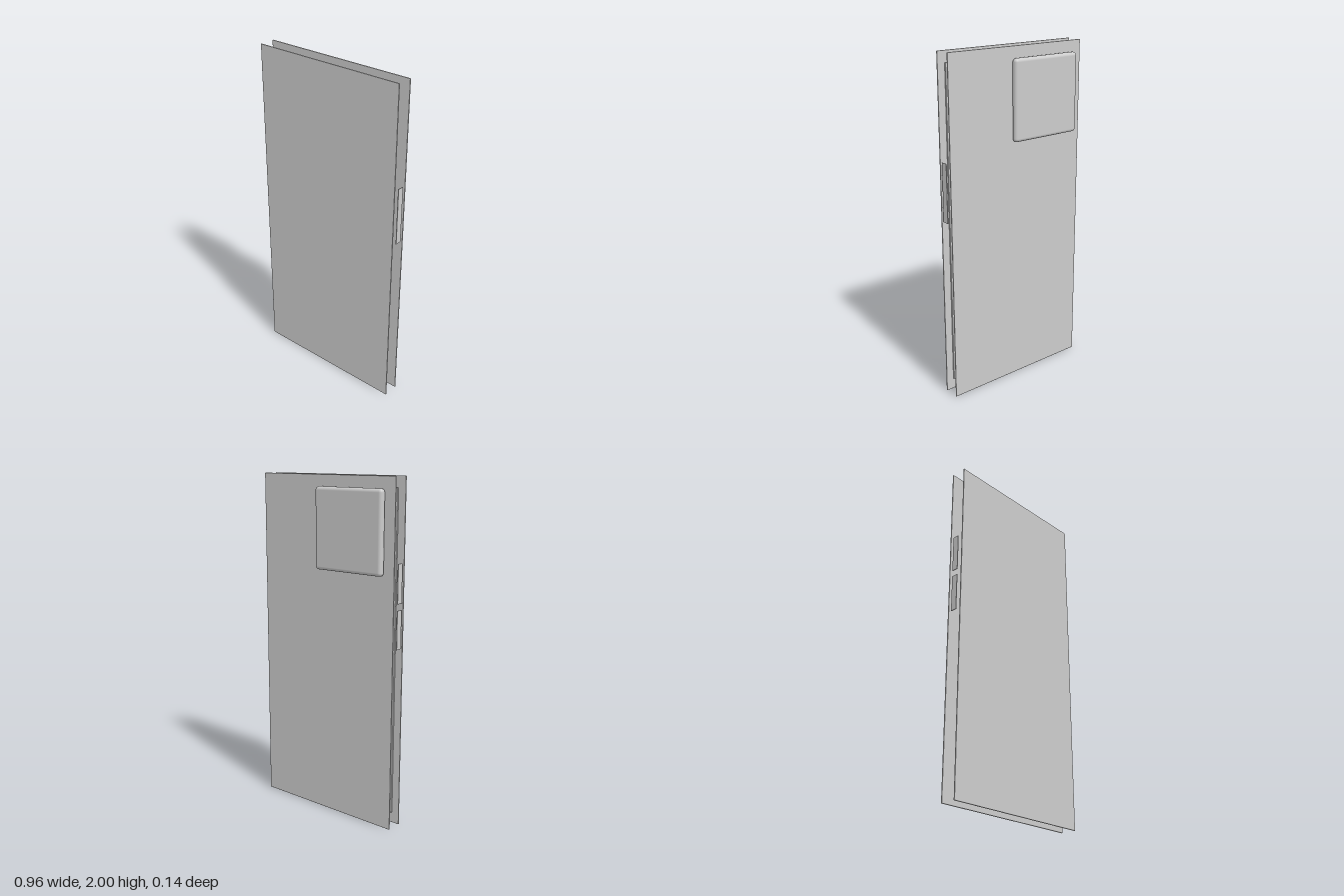
import * as THREE from 'three';
import { RoundedBoxGeometry } from 'three/addons/geometries/RoundedBoxGeometry.js';

export function createModel() {
  const group = new THREE.Group();
  const grey = new THREE.MeshStandardMaterial({ color: 0xcccccc });
  grey.name = 'grey';

  // Adds a block from its min and max corners, rounded when a radius is given
  const block = (name, [x0, y0, z0], [x1, y1, z1], radius = 0) => {
    const size = [x1 - x0, y1 - y0, z1 - z0];
    const geometry = radius
      ? new RoundedBoxGeometry(...size, 4, radius)
      : new THREE.BoxGeometry(...size);
    const mesh = new THREE.Mesh(geometry, grey);
    mesh.name = name;
    mesh.position.set((x0 + x1) / 2, (y0 + y1) / 2, (z0 + z1) / 2);
    group.add(mesh);
  };

  // Outer glass sheets and the display behind the front one
  block('frontGlass', [-0.475, 0, 0.062], [0.475, 2, 0.069], 0.003);
  block('backGlass', [-0.475, 0, -0.029], [0.475, 2, -0.022], 0.003);
  block('display', [-0.432, 0.067, 0.048], [0.432, 1.937, 0.059], 0.004);

  // Inner bar between the sheets
  block('innerBar', [-0.05, 0.53, 0.012], [0.05, 1.48, 0.03], 0.0085);

  // Raised camera housing on the back
  block('cameraHousing', [-0.415, 1.47, -0.073], [0.05, 1.935, -0.03], 0.02);

  // Side buttons
  block('powerButton', [0.475, 1.07, 0.001], [0.48, 1.41, 0.041], 0.002);
  block('upperVolumeButton', [-0.48, 1.32, 0.001], [-0.475, 1.54, 0.041], 0.002);
  block('lowerVolumeButton', [-0.48, 1.065, 0.001], [-0.475, 1.285, 0.041], 0.002);

  return group;
}
